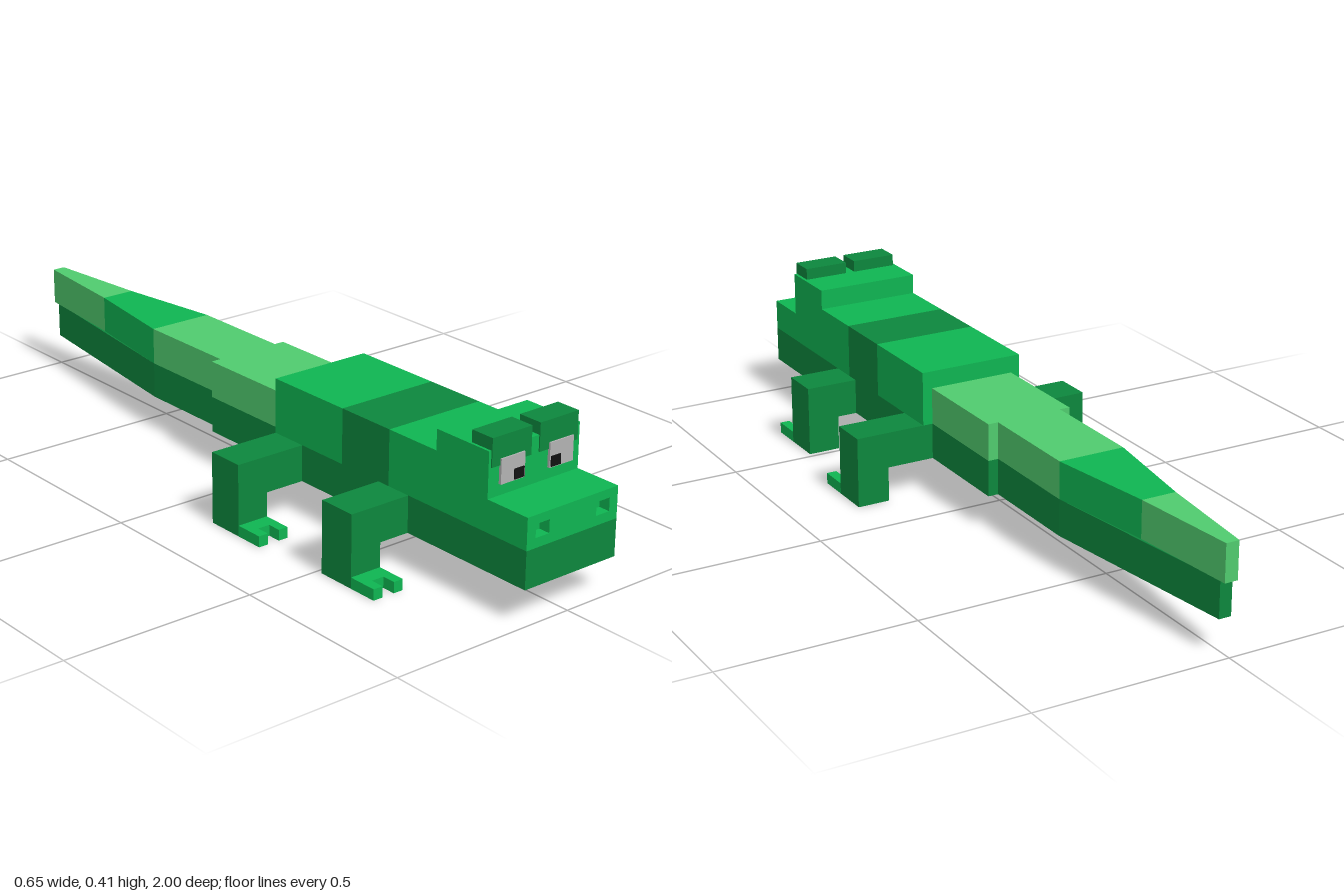
import * as THREE from 'three';

const GREEN = 0x0fb552, DARK = 0x0d873d, PALE = 0x50cb6e, GREY = 0xb2b2b2, BLACK = 0x111111;
const materials = {};
const paint = (color) =>
  (materials[color] ??= new THREE.MeshStandardMaterial({ color, flatShading: true }));

export function createModel() {
  const model = new THREE.Group();
  model.name = 'crocodile';

  const add = (parent, name, geometry, color) => {
    const mesh = new THREE.Mesh(geometry, paint(color));
    mesh.name = name;
    parent.add(mesh);
    return mesh;
  };

  // Box given by its limits on each axis
  const block = (parent, name, color, [x0, x1], [y0, y1], [z0, z1]) => {
    const g = new THREE.BoxGeometry(x1 - x0, y1 - y0, z1 - z0);
    g.translate((x0 + x1) / 2, (y0 + y1) / 2, (z0 + z1) / 2);
    return add(parent, name, g, color);
  };

  // Tail piece whose half width changes from its front to its back end
  const CENTRE = 0.002;
  const taper = (name, color, [y0, y1], [zBack, zFront], halfBack, halfFront) => {
    const g = new THREE.BoxGeometry(1, y1 - y0, zFront - zBack);
    const p = g.attributes.position;
    for (let i = 0; i < p.count; i++) {
      const half = p.getZ(i) > 0 ? halfFront : halfBack;
      p.setX(i, CENTRE + Math.sign(p.getX(i)) * half);
    }
    g.translate(0, (y0 + y1) / 2, (zBack + zFront) / 2);
    g.computeVertexNormals();
    add(model, name, g, color);
  };

  const WIDE = [-0.135, 0.142], LOW = [0.09, 0.183], HIGH = [0.183, 0.278];

  // Belly and lower jaw, body bands, head
  block(model, 'bellyAndJaw', DARK, WIDE, LOW, [0.137, 1]);
  block(model, 'rearBody', GREEN, WIDE, [0.183, 0.323], [0.137, 0.385]);
  block(model, 'bodyBand', DARK, WIDE, [0.183, 0.323], [0.385, 0.55]);
  block(model, 'neck', GREEN, WIDE, [0.183, 0.323], [0.55, 0.708]);
  block(model, 'head', GREEN, WIDE, [0.183, 0.375], [0.708, 0.875]);

  // Snout with two recessed nostrils
  block(model, 'snoutBase', GREEN, WIDE, [0.183, 0.262], [0.875, 0.97]);
  const rect = (path, x0, x1, y0, y1) =>
    path.moveTo(x0, y0).lineTo(x1, y0).lineTo(x1, y1).lineTo(x0, y1).closePath();
  const face = rect(new THREE.Shape(), WIDE[0], WIDE[1], 0.183, 0.262);
  for (const x of [-0.109, 0.076]) face.holes.push(rect(new THREE.Path(), x, x + 0.041, 0.207, 0.24));
  const snout = new THREE.ExtrudeGeometry(face, { depth: 0.03, bevelEnabled: false });
  add(model, 'snoutWithNostrils', snout.translate(0, 0, 0.97), GREEN);

  // Brows, eyes and pupils
  const eyes = [
    { brow: [-0.128, -0.009], eye: [-0.103, -0.031], pupil: [-0.064, -0.035] },
    { brow: [0.016, 0.134], eye: [0.045, 0.118], pupil: [0.048, 0.077] },
  ];
  for (const { brow, eye, pupil } of eyes) {
    block(model, 'brow', DARK, brow, [0.335, 0.405], [0.813, 0.878]);
    block(model, 'eye', GREY, eye, [0.29, 0.351], [0.86, 0.882]);
    block(model, 'pupil', BLACK, pupil, [0.293, 0.318], [0.87, 0.885]);
  }

  // Tail: pale and green upper pieces over a dark underside
  taper('tailRoot', PALE, HIGH, [-0.147, 0.137], 0.114, 0.114);
  taper('tailMiddle', PALE, HIGH, [-0.432, -0.147], 0.087, 0.087);
  taper('tailTaper', GREEN, HIGH, [-0.715, -0.432], 0.045, 0.087);
  taper('tailTip', PALE, HIGH, [-1, -0.715], 0.017, 0.045);
  taper('tailRootUnderside', DARK, LOW, [-0.147, 0.137], 0.114, 0.114);
  taper('tailMiddleUnderside', DARK, LOW, [-0.432, -0.147], 0.087, 0.087);
  taper('tailTipUnderside', DARK, LOW, [-0.982, -0.432], 0.016, 0.087);

  // Legs: sideways thigh, upright shin, flat foot with two toes
  const leg = (name, side, inner, outer, zBack, zFront) => {
    const group = new THREE.Group();
    group.name = name;
    model.add(group);
    const span = (a, b) => (side > 0 ? [a, b] : [-b, -a]);
    const z = [zBack, zFront];
    block(group, 'thigh', DARK, span(0.135, outer), LOW, z);
    block(group, 'shin', DARK, span(inner, outer), [0, 0.09], z);
    block(group, 'foot', GREEN, span(inner, outer), [0, 0.028], [zFront, zFront + 0.042]);
    const toe = [zFront + 0.042, zFront + 0.078];
    block(group, 'innerToe', GREEN, span(inner, inner + 0.026), [0, 0.028], toe);
    block(group, 'outerToe', GREEN, span(outer - 0.026, outer), [0, 0.028], toe);
  };
  leg('frontLegLeft', 1, 0.195, 0.28, 0.515, 0.618);
  leg('frontLegRight', -1, 0.217, 0.303, 0.515, 0.618);
  leg('hindLegLeft', 1, 0.242, 0.327, 0.137, 0.238);
  leg('hindLegRight', -1, 0.243, 0.328, 0.137, 0.238);

  return model;
}
